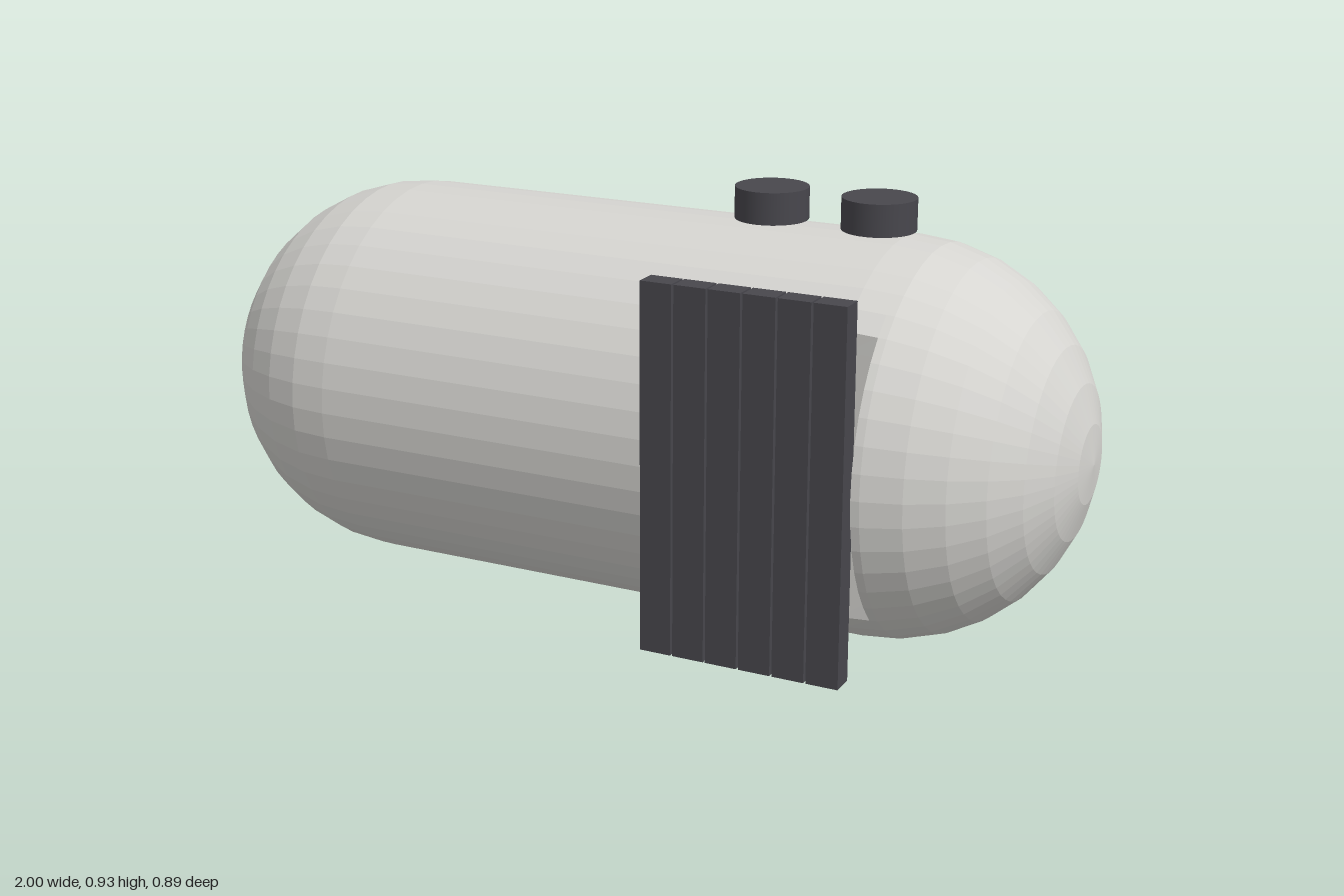
import * as THREE from 'three';
import { RoundedBoxGeometry } from 'three/addons/geometries/RoundedBoxGeometry.js';

const shell = new THREE.MeshStandardMaterial({ color: 0xd6d5d1 });
shell.name = 'pale grey shell';
const dark = new THREE.MeshStandardMaterial({ color: 0x48474d });
dark.name = 'dark grey';
const blue = new THREE.MeshStandardMaterial({ color: 0x66cfea });
blue.name = 'screen blue';

const R = 0.423;            // tank radius, also its centre height
const START = 1 - R;        // where the domed ends begin
const SIDES = 48, RINGS = 8;
const CUT = { x0: 0.203, x1: 0.642, z: 0.295 };

// Capsule lying along x, with a flat-floored recess cut into the front
function tankGeometry() {
  const dome = (i) => {
    const a = (i / RINGS) * Math.PI / 2;
    return [START + R * Math.sin(a), R * Math.cos(a)];
  };
  const stations = [];      // [x, radius, largest z]
  for (let i = RINGS; i >= 0; i--) stations.push([-dome(i)[0], dome(i)[1], 1]);
  const [xe, re] = dome(1);
  const rCut = R + (re - R) * (CUT.x1 - START) / (xe - START);
  stations.push([CUT.x0, R, 1], [CUT.x0, R, CUT.z], [START, R, CUT.z],
    [CUT.x1, rCut, CUT.z], [CUT.x1, rCut, 1]);
  for (let i = 1; i <= RINGS; i++) stations.push([...dome(i), 1]);

  const point = ([x, r, zMax], j) => {
    const t = (j / SIDES) * Math.PI * 2;
    return new THREE.Vector3(x, R + r * Math.sin(t), Math.min(r * Math.cos(t), zMax));
  };
  const pos = [];
  const tri = (...p) => {
    if (new THREE.Triangle(...p).getArea() > 1e-7) p.forEach((v) => pos.push(v.x, v.y, v.z));
  };
  for (let i = 0; i < stations.length - 1; i++) {
    for (let j = 0; j < SIDES; j++) {
      const a = point(stations[i], j), b = point(stations[i + 1], j);
      const c = point(stations[i + 1], j + 1), d = point(stations[i], j + 1);
      tri(a, b, c);
      tri(a, c, d);
    }
  }
  const g = new THREE.BufferGeometry();
  g.setAttribute('position', new THREE.Float32BufferAttribute(pos, 3));
  g.computeVertexNormals(); // unshared corners give faceted normals
  return g;
}

export function createModel() {
  const model = new THREE.Group();
  model.name = 'capsulePod';
  const add = (name, geometry, material, x, y, z) => {
    const mesh = new THREE.Mesh(geometry, material);
    mesh.name = name;
    mesh.position.set(x, y, z);
    model.add(mesh);
  };

  add('tank', tankGeometry(), shell, 0, 0, 0);

  // Six upright slats in front of the recess
  const slat = new THREE.BoxGeometry(0.0685, 0.778, 0.05);
  for (let i = 0; i < 6; i++) {
    add('slat' + (i + 1), slat, dark, 0.237 + i * 0.0733, 0.426, 0.42);
  }

  // Two round caps just above the tank
  const cap = new THREE.CylinderGeometry(0.078, 0.078, 0.068, 32);
  add('capRight', cap, dark, 0.285, 0.892, 0);
  add('capLeft', cap, dark, 0.524, 0.892, 0);

  // Rounded door on the back
  add('backDoor', new RoundedBoxGeometry(0.755, 0.507, 0.05, 4, 0.0245), shell, 0.267, 0.425, -0.418);

  // Control screen tucked beside the door
  add('screenFrame', new RoundedBoxGeometry(0.22, 0.3, 0.028, 3, 0.012), dark, -0.11, 0.425, -0.415);
  add('screen', new RoundedBoxGeometry(0.156, 0.22, 0.02, 3, 0.007), blue, -0.11, 0.425, -0.432);

  return model;
}
